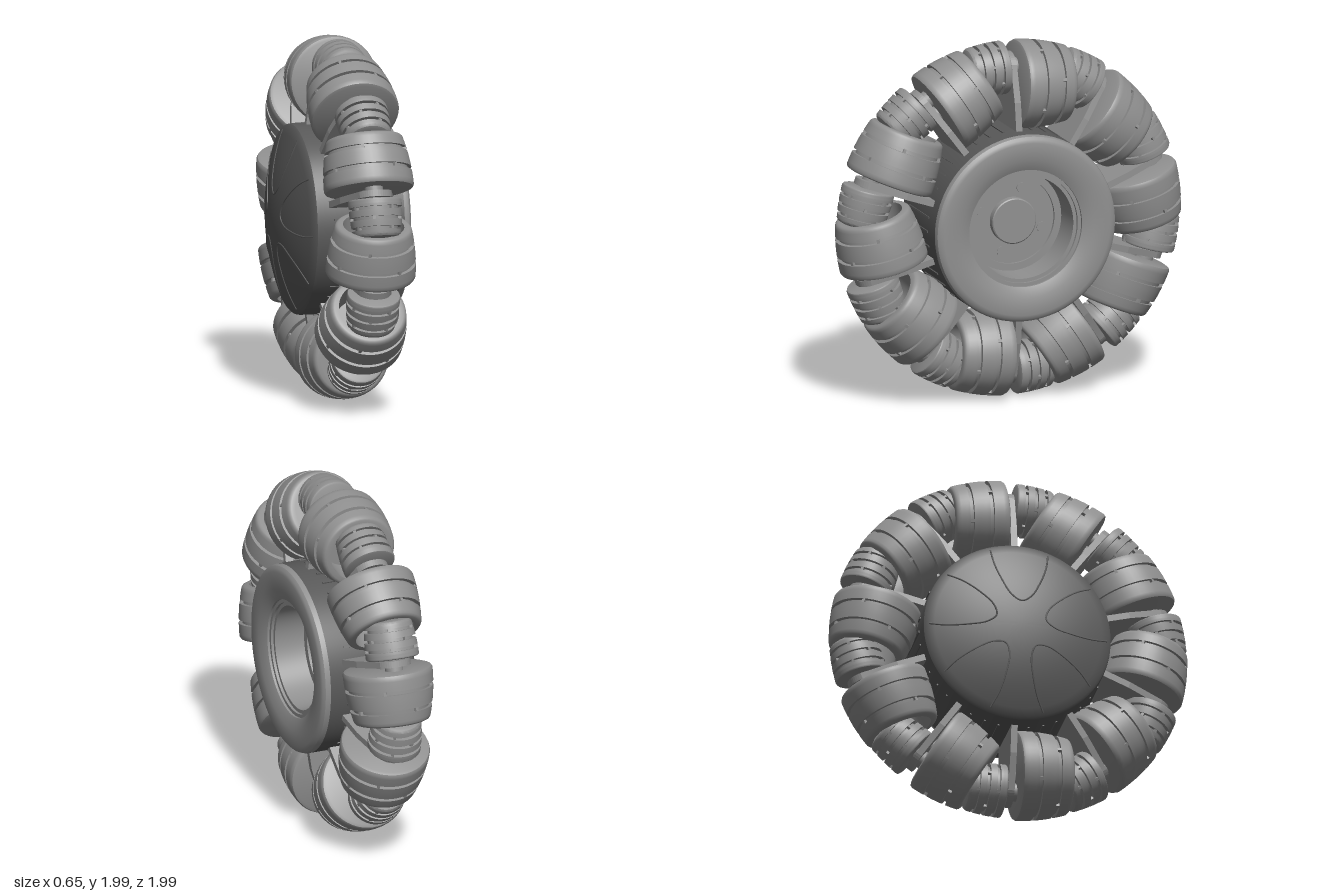
import * as THREE from 'three';
import { toCreasedNormals } from 'three/addons/utils/BufferGeometryUtils.js';

const grey = new THREE.MeshStandardMaterial({ color: 0x909090 });
const dark = new THREE.MeshStandardMaterial({ color: 0x595959 });
const STATIONS = 10;      // pairs of rollers around the rim
const ROLLER_X = 0.03;    // plane of the roller ring
const RIM = 0.997;        // radius of the rolling circle

function mesh(name, geometry, material = grey) {
  const m = new THREE.Mesh(geometry, material);
  m.name = name;
  return m;
}

// Turned solid from [radius, height] pairs, with sharp edges kept
function turned(points, segments) {
  const g = new THREE.LatheGeometry(points.map(([r, h]) => new THREE.Vector2(r, h)), segments);
  return toCreasedNormals(g, 0.5);
}

// Barrel radius that keeps the outside on the rolling circle
const barrel = (t, axis) => Math.sqrt(RIM * RIM - t * t) - axis;

// Barrel with grooves cut around it and an optional cup in its far end
function rollerGeometry({ axis, from, to, grooves, width, depth, cup }) {
  const R = t => barrel(t, axis);
  const p = [[0, from], [R(from) - 0.022, from], [R(from) - 0.006, from + 0.006]];
  let t = from + 0.018;
  const curveTo = end => {
    for (let i = 0; i <= 4; i++) {
      const s = t + (end - t) * i / 4;
      p.push([R(s), s]);
    }
  };
  for (const g of grooves) {
    const a = g - width / 2, b = g + width / 2;
    curveTo(a);
    p.push([R(a) - depth, a], [R(b) - depth, b]);
    t = b;
  }
  curveTo(to - 0.012);
  p.push([R(to) - 0.004, to - 0.004], [R(to) - 0.014, to]);
  if (cup) p.push([cup.radius, to], [cup.radius - 0.01, cup.floor]);
  p.push([0, cup ? cup.floor : to]);
  return turned(p, 48);
}

// Roller with little bridges across its grooves, swung round the wheel by its tilt
function createRoller(name, spec) {
  const { axis, grooves, width, depth, tilt } = spec;
  const body = new THREE.Group();
  body.name = name + 'Body';
  body.add(mesh(name + 'Tread', rollerGeometry(spec)));
  const bridge = new THREE.BoxGeometry(depth * 2, width * 1.1, 0.016);
  grooves.forEach((t, k) => {
    for (let i = 0; i < 4; i++) {
      const a = (i + 0.3 + k * 0.5) * Math.PI / 2;
      const r = barrel(t, axis) - depth - 0.003;
      const b = mesh(name + 'Bridge', bridge);
      b.position.set(Math.cos(a) * r, t, -Math.sin(a) * r);
      b.rotation.y = a;
      body.add(b);
    }
  });
  body.rotation.x = -Math.PI / 2;
  body.position.set(ROLLER_X, axis, 0);
  const roller = new THREE.Group();
  roller.name = name;
  roller.add(body);
  roller.rotation.x = -tilt;
  return roller;
}

// Domed back of the hub: axial position at a given radius
const domeX = r => -0.33 + 0.105 * Math.pow(r / 0.51, 2);

function createHub() {
  const hub = new THREE.Group();
  hub.name = 'hub';

  // Dark dome and drum
  const shell = [];
  for (let i = 0; i <= 12; i++) shell.push([0.51 * i / 12, domeX(0.51 * i / 12)]);
  shell.push([0.522, -0.212], [0.525, -0.195], [0.525, 0.28]);

  // Rounded front rim, shallow dish and stepped bore
  const face = [[0.525, 0.28], [0.525, 0.29], [0.519, 0.308], [0.505, 0.32], [0.485, 0.325],
    [0.39, 0.325], [0.33, 0.298], [0.33, 0.285], [0.31, 0.285], [0.31, 0.27], [0.29, 0.27],
    [0.285, 0.1], [0.245, 0.1], [0.245, 0.085], [0.128, 0.085], [0.128, 0.125], [0.122, 0.13], [0, 0.13]];
  const drum = mesh('hubShell', turned(shell, 96), dark);
  const rim = mesh('hubFace', turned(face, 96));
  for (const part of [drum, rim]) {
    part.rotation.z = -Math.PI / 2;
    hub.add(part);
  }

  // Bolts on the bore floor
  const bolt = new THREE.CylinderGeometry(0.029, 0.029, 0.012, 24);
  for (let i = 0; i < 4; i++) {
    const a = 0.32 + i * Math.PI / 2;
    const b = mesh('bolt', bolt);
    b.position.set(0.085, Math.sin(a) * 0.185, Math.cos(a) * 0.185);
    b.rotation.z = -Math.PI / 2;
    hub.add(b);
  }

  // Petal outlines on the dome, open towards its edge
  const side = [[0.47, 0.16], [0.38, 0.145], [0.27, 0.105], [0.18, 0.055]];
  const outline = [...side, [0.145, 0], ...side.map(([u, v]) => [u, -v]).reverse()];
  for (let i = 0; i < 5; i++) {
    const a = 0.3 + i * Math.PI * 2 / 5, c = Math.cos(a), s = Math.sin(a);
    const curve = new THREE.CatmullRomCurve3(outline.map(([u, v]) =>
      new THREE.Vector3(domeX(Math.hypot(u, v)), u * s + v * c, u * c - v * s)));
    hub.add(mesh('domePetal', new THREE.TubeGeometry(curve, 56, 0.005, 6), dark));
  }
  return hub;
}

// Thin tapered plate that carries the roller axles
function spokeGeometry() {
  const s = new THREE.Shape();
  s.moveTo(-0.18, 0.48);
  s.lineTo(0.18, 0.48);
  s.lineTo(0.15, 0.68);
  s.lineTo(0.09, 0.88);
  s.quadraticCurveTo(0.06, 0.935, 0, 0.935);
  s.quadraticCurveTo(-0.06, 0.935, -0.09, 0.88);
  s.lineTo(-0.15, 0.68);
  s.closePath();
  const g = new THREE.ExtrudeGeometry(s, { depth: 0.036, bevelEnabled: false, curveSegments: 8 });
  return g.translate(ROLLER_X, 0, -0.018);
}

export function createModel() {
  const wheel = new THREE.Group();
  wheel.name = 'rollerWheel';
  wheel.position.y = 0.994;
  wheel.add(createHub());

  const bigRoller = createRoller('bigRoller', {
    axis: 0.75, from: -0.018, to: 0.28, tilt: 0.07,
    grooves: [0.085, 0.195], width: 0.022, depth: 0.02, cup: { radius: 0.168, floor: 0.12 },
  });
  const smallRoller = createRoller('smallRoller', {
    axis: 0.85, from: -0.196, to: 0.018, tilt: -0.05,
    grooves: [-0.145, -0.09, -0.035], width: 0.018, depth: 0.02,
  });
  const plate = spokeGeometry();
  const axle = new THREE.CylinderGeometry(0.05, 0.05, 0.09, 24);
  const rib = new THREE.BoxGeometry(0.3, 0.012, 0.01);

  // Each station: a spoke plate with a small roller on one side and a big one on the other
  for (let i = 0; i < STATIONS; i++) {
    const station = new THREE.Group();
    station.name = 'rollerStation';
    station.add(mesh('spoke', plate), bigRoller.clone(), smallRoller.clone());
    for (const r of [0.75, 0.85]) {
      const pin = mesh('axle', axle);
      pin.rotation.x = Math.PI / 2;
      pin.position.set(ROLLER_X, r, 0);
      station.add(pin);
    }
    // Low ribs along the drum between the spokes
    for (const a of [0.16, 0.31, 0.47]) {
      const r = mesh('drumRib', rib, dark);
      r.position.set(ROLLER_X, Math.cos(a) * 0.525, Math.sin(a) * 0.525);
      r.rotation.x = a;
      station.add(r);
    }
    station.rotation.x = i * Math.PI * 2 / STATIONS;
    wheel.add(station);
  }

  const model = new THREE.Group();
  model.name = 'model';
  model.add(wheel);
  return model;
}
